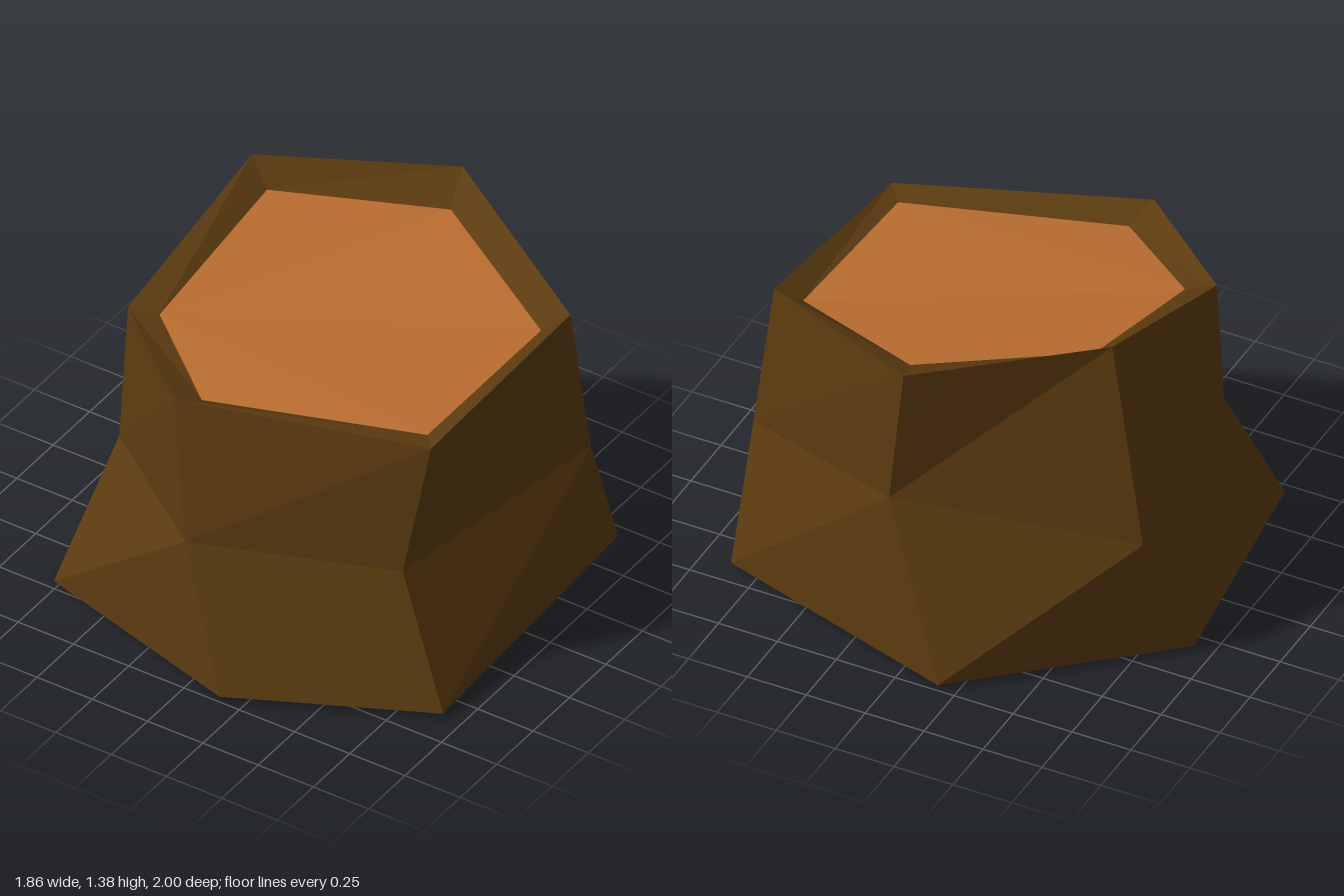
import * as THREE from 'three';

// Six-sided rings, ordered front-right-hand-wise around the trunk, from ground to cut
const RINGS = {
  base: [[-0.78, 0, 0.71], [0.16, 0.025, 1], [0.925, 0.025, 0.625], [0.865, 0.025, -0.67], [-0.18, 0.025, -1], [-0.93, 0.025, -0.34]],
  waist: [[-0.655, 0.575, 0.45], [-0.075, 0.585, 0.88], [0.69, 0.55, 0.545], [0.867, 0.57, -0.48], [0.1, 0.72, -0.855], [-0.8, 0.57, -0.51]],
  top: [[-0.655, 1.147, 0.39], [-0.195, 1.14, 0.77], [0.76, 1.105, 0.455], [0.8, 1.19, -0.44], [0.04, 1.315, -0.855], [-0.62, 1.38, -0.41]],
  cut: [[-0.545, 1.125, 0.34], [-0.15, 1.08, 0.65], [0.69, 1.09, 0.375], [0.71, 1.12, -0.375], [0.095, 1.238, -0.69], [-0.52, 1.285, -0.36]],
};

// Faceted geometry from a list of triangles
function facets(triangles) {
  const geometry = new THREE.BufferGeometry();
  geometry.setAttribute('position', new THREE.Float32BufferAttribute(triangles.flat(2), 3));
  geometry.computeVertexNormals();
  return geometry;
}

// Band of triangles joining two rings
function band(lower, upper) {
  const triangles = [];
  for (let i = 0; i < lower.length; i++) {
    const j = (i + 1) % lower.length;
    triangles.push([lower[i], lower[j], upper[j]], [lower[i], upper[j], upper[i]]);
  }
  return triangles;
}

export function createModel() {
  const bark = new THREE.MeshStandardMaterial({ color: 0x5c3b10, flatShading: true, side: THREE.DoubleSide });
  bark.name = 'bark brown';
  const wood = new THREE.MeshStandardMaterial({ color: 0xba6d30, flatShading: true, side: THREE.DoubleSide });
  wood.name = 'cut wood orange';

  const stump = new THREE.Group();
  stump.name = 'treeStump';
  const add = (name, triangles, material) => {
    const mesh = new THREE.Mesh(facets(triangles), material);
    mesh.name = name;
    stump.add(mesh);
  };

  const { base, waist, top, cut } = RINGS;
  // Flared foot and upper trunk, open underneath
  add('flaredFoot', band(base, waist), bark);
  add('upperTrunk', band(waist, top), bark);
  // Bark rim sloping in to the cut
  add('barkRim', band(top, cut), bark);
  // Cut face, folded along one diagonal
  const fan = [1, 2, 3, 4].map((i) => [cut[0], cut[i], cut[i + 1]]);
  add('cutFace', fan, wood);

  return stump;
}
